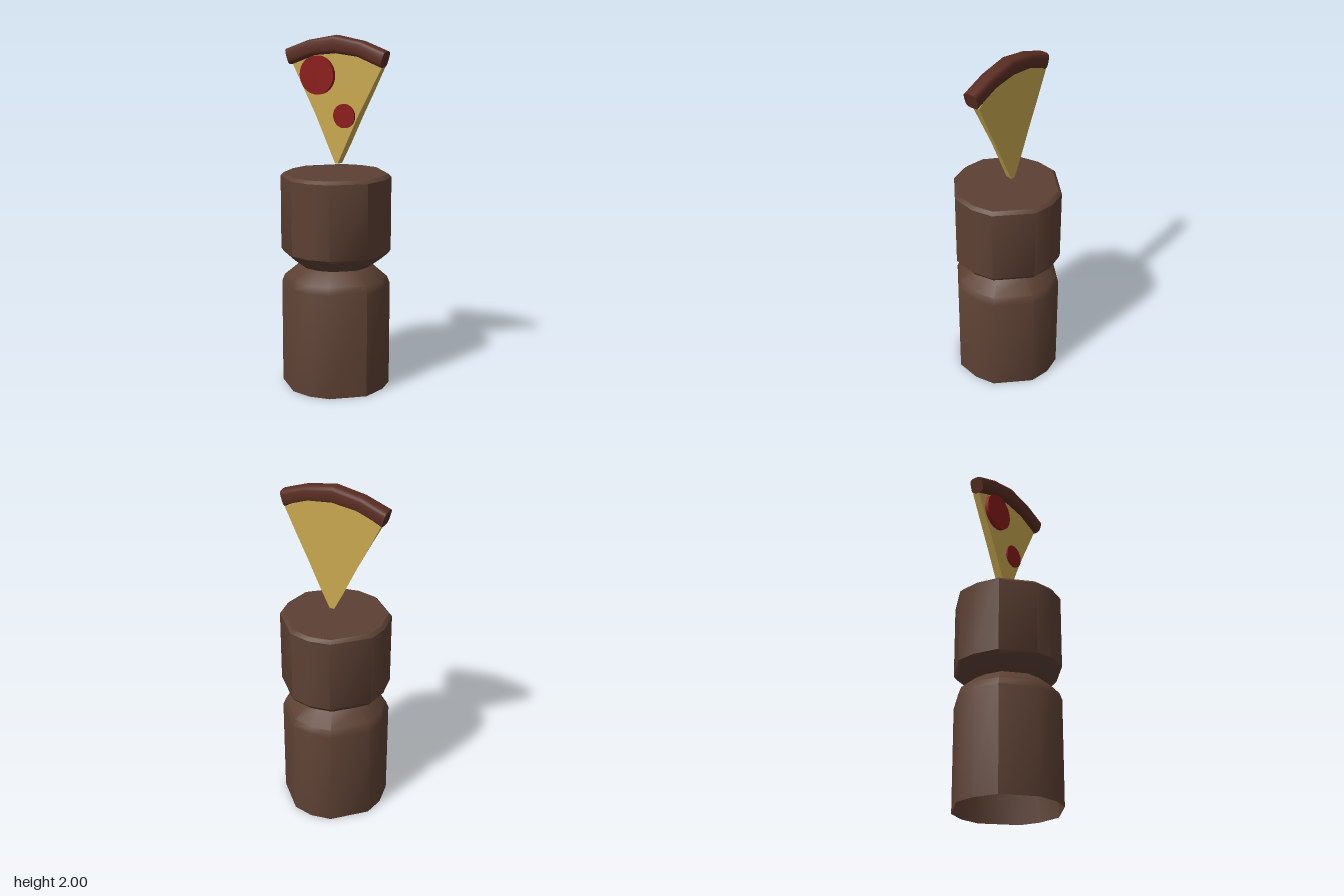
import * as THREE from 'three';
import { toCreasedNormals } from 'three/addons/utils/BufferGeometryUtils.js';

// Skin a list of equal-length rings; rings run anticlockwise seen from the far end
function loft(rings, capStart, capEnd, crease) {
  const pos = [];
  const tri = (...points) => points.forEach((p) => pos.push(p.x, p.y, p.z));
  const n = rings[0].length;
  for (let i = 0; i < rings.length - 1; i++) {
    for (let j = 0; j < n; j++) {
      const k = (j + 1) % n;
      const [a, b] = [rings[i], rings[i + 1]];
      tri(a[j], a[k], b[k]);
      tri(a[j], b[k], b[j]);
    }
  }
  const cap = (ring, flip) => {
    const c = new THREE.Vector3();
    ring.forEach((p) => c.addScaledVector(p, 1 / n));
    ring.forEach((p, j) => {
      const q = ring[(j + 1) % n];
      flip ? tri(c, q, p) : tri(c, p, q);
    });
  };
  if (capStart) cap(rings[0], true);
  if (capEnd) cap(rings[rings.length - 1], false);
  const geo = new THREE.BufferGeometry();
  geo.setAttribute('position', new THREE.Float32BufferAttribute(pos, 3));
  return toCreasedNormals(geo, crease);
}

const v3 = (x, y, z) => new THREE.Vector3(x, y, z);

export function createModel() {
  const model = new THREE.Group();
  const add = (name, geo, color, parent = model) => {
    const mat = new THREE.MeshStandardMaterial({ color });
    const mesh = new THREE.Mesh(geo, mat);
    mesh.name = name;
    parent.add(mesh);
    return mesh;
  };

  // Pedestal: uneven twelve-sided outline, pinched at the waist, open underneath
  const half = [[0, 0.31], [0.12, 0.287], [0.28, 0.145], [0.307, 0], [0.287, -0.12], [0.12, -0.287], [0, -0.31]];
  const outline = [...half, ...half.slice(1, -1).reverse().map(([x, z]) => [-x, z])];
  const profile = [
    [0.99, 0], [0.99, 0.6], [0.94, 0.64], [0.67, 0.71],
    [0.94, 0.772], [1, 0.795], [1, 1.217], [0.94, 1.235],
  ];
  const rings = profile.map(([s, y]) => outline.map(([x, z]) => v3(x * s, y, z * s)));
  const pedestal = add('pedestal', loft(rings, false, true, 0.66), 0x5c4033);
  pedestal.material.side = THREE.DoubleSide;

  const slice = new THREE.Group();
  slice.name = 'pizzaSlice';
  model.add(slice);

  // Cheese wedge: height, front half width, back half width
  const levels = [
    [1.285, 0.008, 0.014], [1.4, 0.062, 0.073], [1.56, 0.137, 0.149], [1.7, 0.212, 0.219],
    [1.835, 0.284, 0.284], [1.872, 0.225, 0.225], [1.9, 0.15, 0.15], [1.92, 0.05, 0.05],
  ];
  const wedge = levels.map(([y, f, b]) => [v3(-f, y, 0), v3(f, y, 0), v3(b, y, -0.041), v3(-b, y, -0.041)]);
  add('cheese', loft(wedge, true, true, 0.5), 0xc8a850, slice);

  // Crust: rounded section swept over the arc; inner x, y then outer x, y
  const side = [[0.14, 1.885, 0.17, 1.97], [0.287, 1.83, 0.314, 1.918]];
  const stations = [
    ...side.map(([a, b, c, d]) => [-a, b, -c, d]).reverse(),
    [0, 1.9, 0, 2],
    ...side,
  ];
  const soft = (t) => Math.sign(t) * Math.abs(t) ** 0.55;
  const crustRings = stations.map(([xi, yi, xo, yo]) => Array.from({ length: 20 }, (_, i) => {
    const a = (i / 20) * Math.PI * 2;
    const t = 0.5 + 0.5 * soft(Math.sin(a));
    return v3(xi + (xo - xi) * t, yi + (yo - yi) * t, -0.003 - 0.042 * soft(Math.cos(a)));
  }));
  add('crust', loft(crustRings, true, true, 0.8), 0x5a2d22, slice);

  // Pepperoni: x, y, radius, thickness
  [[-0.115, 1.777, 0.108, 0.024], [0.053, 1.557, 0.067, 0.012]].forEach(([x, y, r, h], i) => {
    const disc = add(`pepperoni${i + 1}`, new THREE.CylinderGeometry(r, r, h, 32), 0x8b1a1a, slice);
    disc.rotation.x = Math.PI / 2;
    disc.position.set(x, y, h / 2);
  });

  return model;
}
